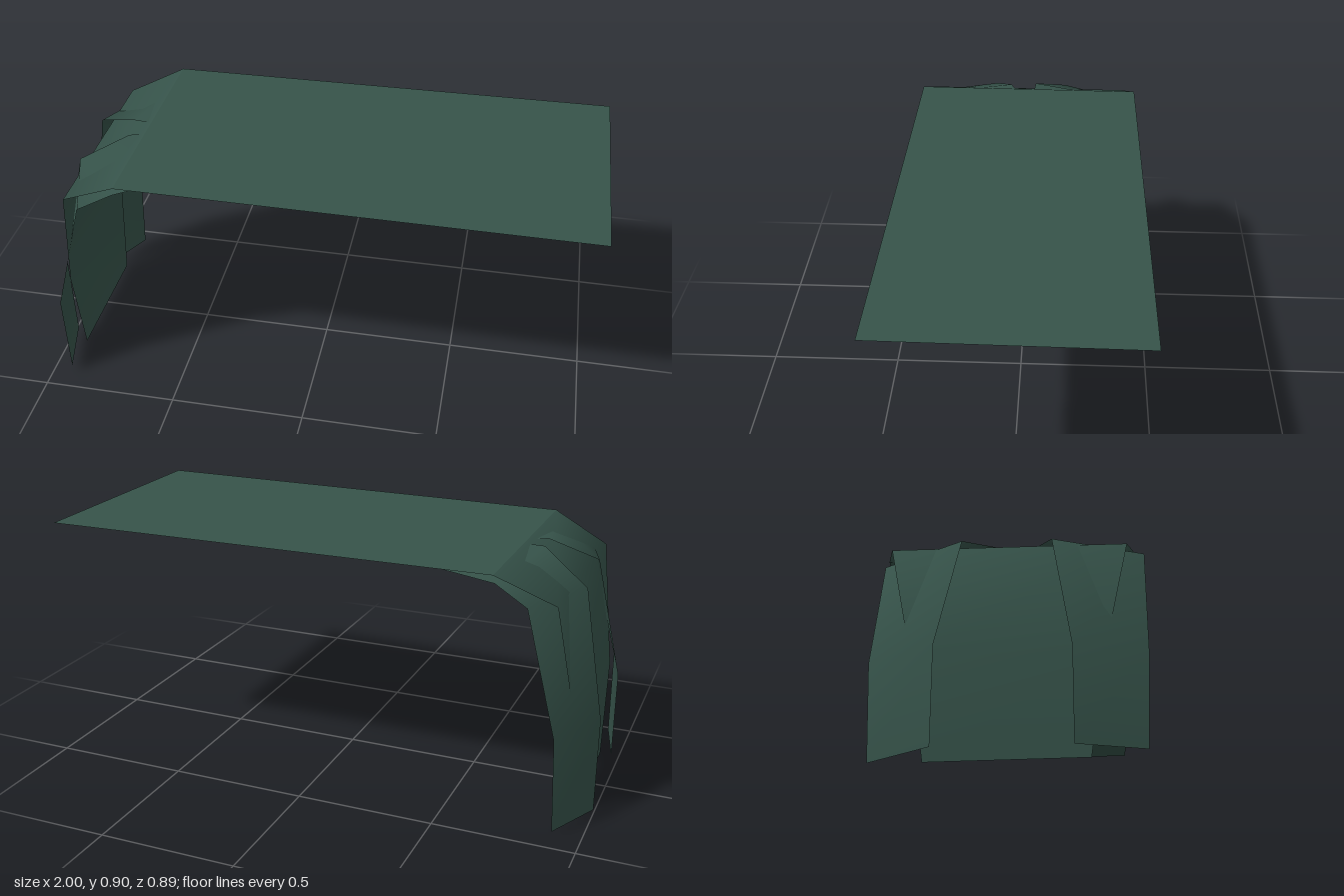
import * as THREE from 'three';

const cloth = new THREE.MeshStandardMaterial({ color: 0x36534a, side: THREE.DoubleSide });
cloth.name = 'dark green cloth';

// Smooth strip of cloth through rows of [pointA, pointB]
function strip(name, rows) {
  const index = [];
  for (let i = 0; i < rows.length - 1; i++) {
    const a = i * 2;
    index.push(a, a + 1, a + 2, a + 1, a + 3, a + 2);
  }
  const geometry = new THREE.BufferGeometry();
  geometry.setAttribute('position', new THREE.Float32BufferAttribute(rows.flat(2), 3));
  geometry.setIndex(index);
  geometry.computeVertexNormals();
  const mesh = new THREE.Mesh(geometry, cloth);
  mesh.name = name;
  return mesh;
}

export function createModel() {
  const group = new THREE.Group();
  group.name = 'drapedCloth';

  // Flat sheet lying on top
  group.add(strip('topSheet', [
    [[-0.66, 0.9, 0.425], [-0.66, 0.895, -0.43]],
    [[1, 0.903, 0.44], [1, 0.895, -0.45]],
  ]));

  // Middle panel hanging down from the end of the sheet
  group.add(strip('middleDrop', [
    [[-0.93, 0.005, 0.25], [-0.93, 0, -0.25]],
    [[-0.93, 0.36, 0.3], [-0.93, 0.36, -0.3]],
    [[-0.865, 0.8, 0.385], [-0.865, 0.8, -0.385]],
    [[-0.66, 0.9, 0.425], [-0.66, 0.895, -0.43]],
  ]));

  // Angled corner flaps, tucked under the sheet at the top
  group.add(strip('frontFlap', [
    [[-0.925, 0.03, 0.42], [-0.98, 0.027, 0.2]],
    [[-0.92, 0.36, 0.435], [-0.98, 0.36, 0.2]],
    [[-0.79, 0.81, 0.445], [-0.89, 0.81, 0.14]],
    [[-0.67, 0.865, 0.415], [-0.72, 0.888, 0.07]],
    [[-0.27, 0.88, 0.15], [-0.38, 0.885, -0.08]],
  ]));
  group.add(strip('backFlap', [
    [[-1, 0.017, -0.22], [-0.9, 0.015, -0.42]],
    [[-1, 0.36, -0.22], [-0.89, 0.36, -0.435]],
    [[-0.91, 0.797, -0.15], [-0.775, 0.795, -0.42]],
    [[-0.73, 0.89, -0.03], [-0.66, 0.86, -0.405]],
    [[-0.38, 0.888, 0], [-0.35, 0.88, -0.34]],
  ]));

  return group;
}
